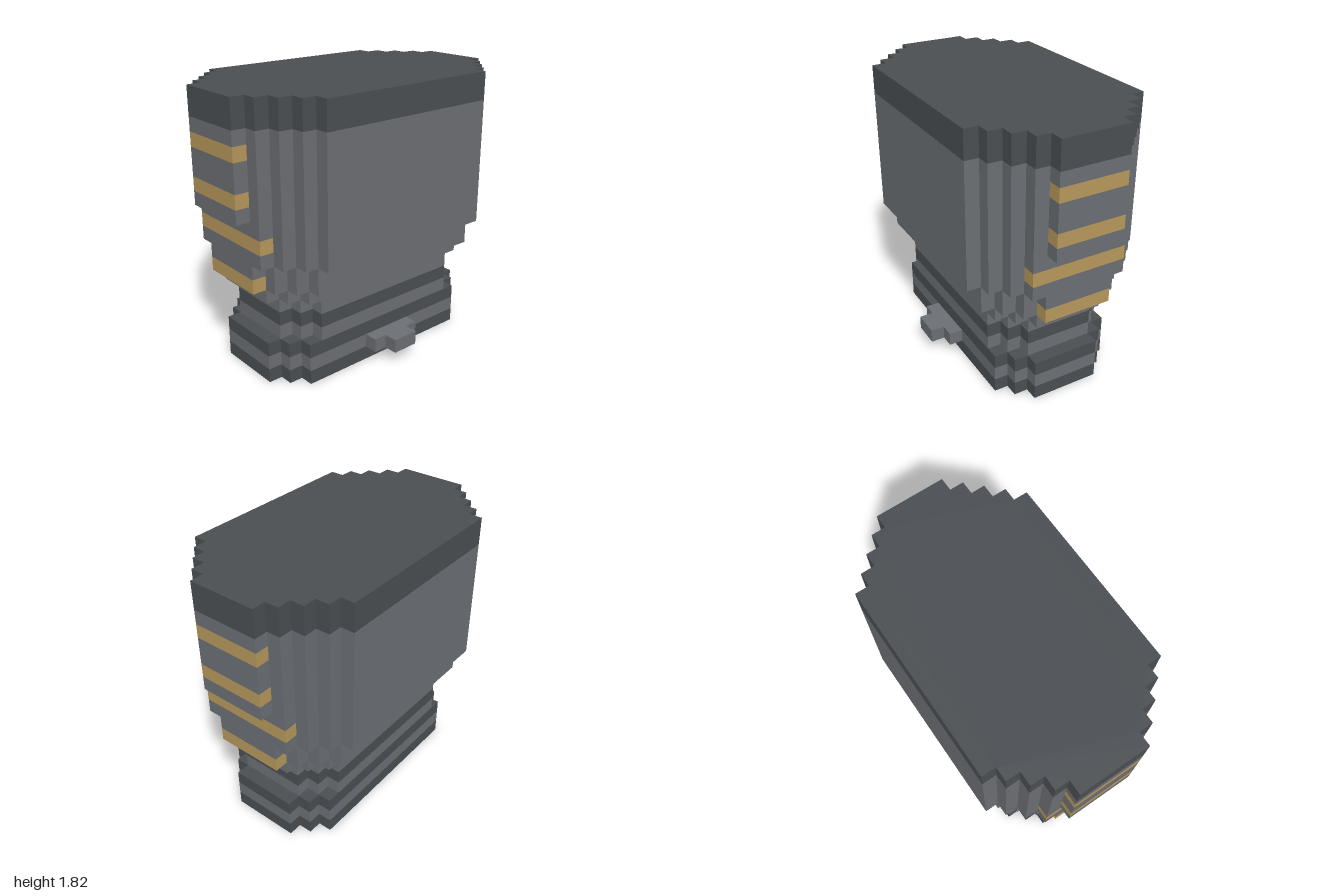
import * as THREE from 'three';

const U = 1 / 11; // one block

const grey = new THREE.MeshStandardMaterial({ color: 0x6b6e73 });
grey.name = 'grey';
const dark = new THREE.MeshStandardMaterial({ color: 0x4a4e52 });
dark.name = 'darkGrey';
const gold = new THREE.MeshStandardMaterial({ color: 0xb5975b });
gold.name = 'gold';

// Slab with stair-stepped corners: half width hx up to depth z0, then one block
// narrower for each block deeper, until half depth hz.
function slab(name, y0, y1, hx, z0, hz, material) {
  const quarter = [];
  for (let x = hx, z = z0; z <= hz; x--, z++) {
    if (z > z0) quarter.push([x, z - 1]);
    quarter.push([x, z]);
  }
  const back = [...quarter].reverse();
  const outline = [
    ...quarter,
    ...back.map(([x, z]) => [-x, z]),
    ...quarter.map(([x, z]) => [-x, -z]),
    ...back.map(([x, z]) => [x, -z]),
  ].map(([x, z]) => new THREE.Vector2(x * U, z * U));
  const geometry = new THREE.ExtrudeGeometry(new THREE.Shape(outline), {
    depth: (y1 - y0) * U,
    bevelEnabled: false,
  });
  geometry.rotateX(-Math.PI / 2).translate(0, y0 * U, 0);
  const mesh = new THREE.Mesh(geometry, material);
  mesh.name = name;
  return mesh;
}

// Box given by its limits in blocks
function block(name, x0, x1, y0, y1, z0, z1, material) {
  const geometry = new THREE.BoxGeometry((x1 - x0) * U, (y1 - y0) * U, (z1 - z0) * U);
  const mesh = new THREE.Mesh(geometry, material);
  mesh.position.set((x0 + x1) * U / 2, (y0 + y1) * U / 2, (z0 + z1) * U / 2);
  mesh.name = name;
  return mesh;
}

export function createModel() {
  const model = new THREE.Group();
  model.name = 'steppedBlock';

  // Foot, neck, body and lid, from the ground up
  const layers = [
    ['footBottom', 0, 1, 9, 2.5, 4.5, dark],
    ['footBand', 1, 2, 9, 2.5, 4.5, grey],
    ['footTop', 2, 3, 9, 2.5, 4.5, dark],
    ['neckLower', 3, 4, 8, 2.5, 4.5, grey],
    ['neckBand', 4, 5, 8, 2.5, 4.5, dark],
    ['neckUpper', 5, 6, 8, 2.5, 4.5, grey],
    ['collar', 6, 7, 9, 2.5, 4.5, grey],
    ['bodyLower', 7, 9, 9, 3.5, 5.5, grey],
    ['body', 9, 18, 9, 4.5, 6.5, grey],
    ['lid', 18, 20, 11, 2.5, 6.5, dark],
  ];
  for (const layer of layers) model.add(slab(...layer));

  // Side panels with gold stripes: inner x, half depth, bottom, top, material
  const panels = [
    [9, 2.5, 7, 8, gold],
    [9, 2.5, 8, 9, grey],
    [9, 3.5, 9, 10, grey],
    [9, 3.5, 10, 11, gold],
    [9, 3.5, 11, 18, grey],
    [10, 2.5, 12, 13, grey],
    [10, 2.5, 13, 14, gold],
    [10, 2.5, 14, 16, grey],
    [10, 2.5, 16, 17, gold],
    [10, 2.5, 17, 18, grey],
  ];
  for (const side of [1, -1]) {
    const group = new THREE.Group();
    group.name = side > 0 ? 'leftSide' : 'rightSide';
    for (const [x, hz, y0, y1, material] of panels) {
      const [a, b] = side > 0 ? [x, x + 1] : [-x - 1, -x];
      group.add(block(material === gold ? 'stripe' : 'sidePanel', a, b, y0, y1, -hz, hz, material));
    }
    model.add(group);
  }

  // Stepped tab on the front of the foot
  model.add(block('tabBase', -2, 2, 1, 2, 4.5, 5.5, grey));
  model.add(block('tabTip', -1, 1, 1, 2, 5.5, 6.5, grey));

  return model;
}
